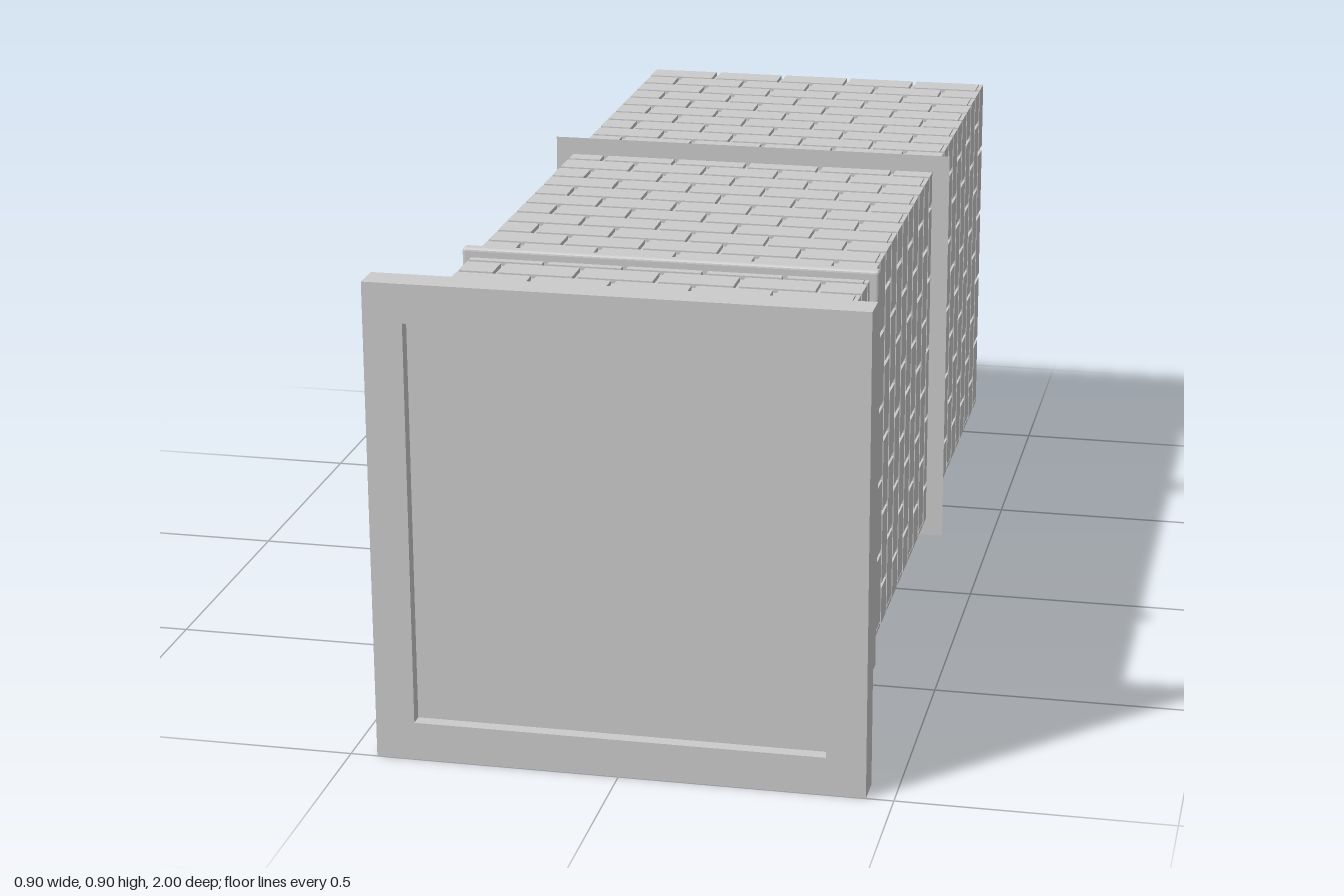
import * as THREE from 'three';
import { mergeGeometries } from 'three/addons/utils/BufferGeometryUtils.js';
import { RoundedBoxGeometry } from 'three/addons/geometries/RoundedBoxGeometry.js';

const HALF = 0.375;      // half width of the brick shaft
const BACK = -1;
const CAP_BACK = 0.94;
const COURSES = 28;
const PITCH = (CAP_BACK - BACK) / COURSES;
const GAP = 0.01;        // mortar joint width
const DEPTH = 0.008;     // mortar joint depth
const BRICK = 0.15;

// One wall of running-bond bricks, laid on the +y side
function brickWall() {
  const bricks = [];
  const start = -HALF, end = HALF - DEPTH; // butts against the next wall
  for (let row = 0; row < COURSES; row++) {
    const shift = row % 2 ? BRICK / 2 : 0;
    const length = PITCH - GAP;
    const z = BACK + row * PITCH + length / 2;
    for (let i = 0; i < 6; i++) {
      const left = start + i * BRICK - shift;
      const a = Math.max(start, left);
      const b = Math.min(end, left + BRICK - GAP);
      if (b - a < 0.01) continue;
      const brick = new THREE.BoxGeometry(b - a, DEPTH, length);
      brick.translate((a + b) / 2, HALF - DEPTH / 2, z);
      bricks.push(brick);
    }
  }
  return mergeGeometries(bricks);
}

function squareShape(half, Type = THREE.Shape) {
  const s = new Type();
  s.moveTo(-half, -half);
  s.lineTo(half, -half);
  s.lineTo(half, half);
  s.lineTo(-half, half);
  s.closePath();
  return s;
}

export function createModel() {
  const group = new THREE.Group();
  const material = new THREE.MeshStandardMaterial({ color: 0xcccccc, flatShading: true });
  const add = (name, geometry) => {
    const mesh = new THREE.Mesh(geometry, material);
    mesh.name = name;
    mesh.position.y = 0.45;
    group.add(mesh);
    return mesh;
  };

  // Mortar core; its front end is the recessed panel inside the cap
  const inner = HALF - DEPTH;
  const coreLength = 0.97 - BACK;
  add('mortarCore', new THREE.BoxGeometry(2 * inner, 2 * inner, coreLength)
    .translate(0, 0, BACK + coreLength / 2));

  // Four brick walls
  const wall = brickWall();
  ['topBricks', 'leftBricks', 'bottomBricks', 'rightBricks'].forEach((name, i) => {
    add(name, wall).rotation.z = -i * Math.PI / 2;
  });

  // Square cap frame with its opening, and the panel set back in it
  const frame = squareShape(0.45);
  frame.holes.push(squareShape(0.378, THREE.Path));
  add('capFrame', new THREE.ExtrudeGeometry(frame, { depth: 0.06, bevelEnabled: false })
    .translate(0, 0, CAP_BACK));
  add('capPanel', new THREE.BoxGeometry(0.756, 0.756, 0.034).translate(0, 0, 0.958));

  // Narrow band with softened edges
  add('band', new RoundedBoxGeometry(0.785, 0.785, 0.024, 2, 0.006).translate(0, 0, 0.555));

  // Flared collar, widest towards the cap
  add('flaredCollar', new THREE.CylinderGeometry(0.41 * Math.SQRT2, HALF * Math.SQRT2, 0.035, 4)
    .rotateY(Math.PI / 4).rotateX(Math.PI / 2).translate(0, 0, -0.232));

  return group;
}
